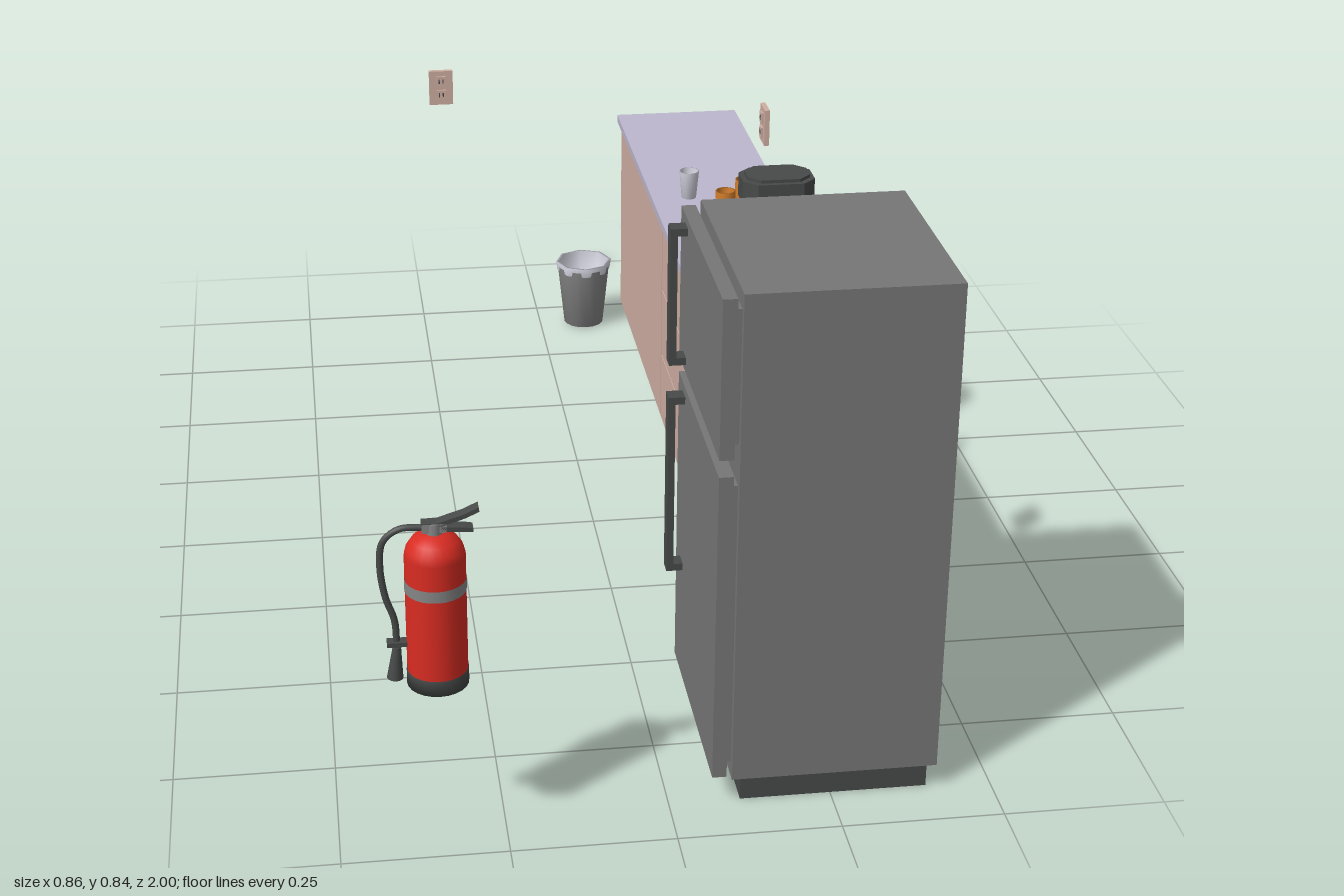
import * as THREE from 'three';

const mat = (name, color, side = THREE.FrontSide) => {
  const m = new THREE.MeshStandardMaterial({ color, side });
  m.name = name;
  return m;
};

export function createModel() {
  const root = new THREE.Group();
  root.name = 'kitchenette';
  const gray = mat('applianceGray', 0x767676);
  const dark = mat('charcoal', 0x484a4a);
  const steel = mat('steel', 0x868686, THREE.DoubleSide);
  const beige = mat('cabinetBeige', 0xb6aba4);
  const pink = mat('rosyBeige', 0xcfaea2);
  const lavender = mat('counterLavender', 0xbcb7cd);
  const red = mat('red', 0xd82c22);
  const orange = mat('orange', 0xcf7c2a, THREE.DoubleSide);
  const white = mat('paleWhite', 0xd2d2de, THREE.DoubleSide);

  // ---- helpers ----
  const group = (name, x = 0, y = 0, z = 0) => {
    const g = new THREE.Group();
    g.name = name;
    g.position.set(x, y, z);
    root.add(g);
    return g;
  };
  const add = (parent, name, geo, material) => {
    const m = new THREE.Mesh(geo, material);
    m.name = name;
    parent.add(m);
    return m;
  };
  // box from minimum and maximum corners
  const box = (parent, name, m, x0, x1, y0, y1, z0, z1) => add(parent, name,
    new THREE.BoxGeometry(x1 - x0, y1 - y0, z1 - z0)
      .translate((x0 + x1) / 2, (y0 + y1) / 2, (z0 + z1) / 2), m);
  const lathe = (parent, name, m, pts, seg = 24) => add(parent, name,
    new THREE.LatheGeometry(pts.map(p => new THREE.Vector2(...p)), seg), m);
  const V = a => new THREE.Vector3(...a);
  // tapered rod between two points
  const rod = (parent, name, m, a, b, r0, r1 = r0, seg = 12) => {
    const A = V(a), B = V(b), d = B.clone().sub(A);
    const mesh = add(parent, name, new THREE.CylinderGeometry(r1, r0, d.length(), seg), m);
    mesh.position.copy(A).add(B).multiplyScalar(0.5);
    mesh.quaternion.setFromUnitVectors(new THREE.Vector3(0, 1, 0), d.normalize());
    return mesh;
  };
  // rectangle with cut corners, as points in x and z
  const cutRect = (x0, x1, z0, z1, c = 0) => (c
    ? [[x0 + c, z0], [x1 - c, z0], [x1, z0 + c], [x1, z1 - c], [x1 - c, z1], [x0 + c, z1], [x0, z1 - c], [x0, z0 + c]]
    : [[x0, z0], [x1, z0], [x1, z1], [x0, z1]]).map(p => new THREE.Vector2(...p));
  // floor-plan outline raised from y0 to y1
  const plan = (parent, name, m, outline, y0, y1, hole) => {
    const s = new THREE.Shape(outline);
    if (hole) s.holes.push(new THREE.Path(hole));
    return add(parent, name, new THREE.ExtrudeGeometry(s, { depth: y1 - y0, bevelEnabled: false })
      .rotateX(Math.PI / 2).translate(0, y1, 0), m);
  };

  // ---- refrigerator ----
  const fridge = group('refrigerator');
  box(fridge, 'fridgeBody', gray, 0.095, 0.413, 0.045, 0.845, 0.55, 0.92);
  box(fridge, 'fridgePlinth', dark, 0.11, 0.4, 0.003, 0.045, 0.565, 0.91);
  for (const [name, y0, y1, h0, h1] of [['freezer', 0.587, 0.838, 0.6, 0.825], ['fridge', 0.05, 0.56, 0.24, 0.545]]) {
    box(fridge, name + 'Door', gray, 0.065, 0.087, y0, y1, 0.552, 0.918);
    box(fridge, name + 'Seal', gray, 0.087, 0.095, y0 + 0.02, y1 - 0.02, 0.562, 0.908);
    const u = new THREE.Shape([[0.065, h0], [0.065, h0 + 0.012], [0.05, h0 + 0.012], [0.05, h1 - 0.012],
      [0.065, h1 - 0.012], [0.065, h1], [0.039, h1], [0.039, h0]].map(p => new THREE.Vector2(...p)));
    add(fridge, name + 'Handle', new THREE.ExtrudeGeometry(u, { depth: 0.026, bevelEnabled: false })
      .translate(0, 0, 0.59), dark);
  }

  // ---- base cabinets, with a narrow seam between the two units ----
  const cabinet = group('cabinets');
  for (const [z0, z1] of [[-0.912, -0.037], [-0.033, 0.54]]) {
    plan(cabinet, 'cabinetWalls', beige, cutRect(0.187, 0.418, z0, z1), 0.05, 0.46,
      cutRect(0.2, 0.405, z0 + 0.013, z1 - 0.013));
    box(cabinet, 'cabinetFloor', beige, 0.19, 0.415, 0.05, 0.06, z0 + 0.005, z1 - 0.005);
    box(cabinet, 'toeKick', beige, 0.207, 0.411, 0.01, 0.05, z0, z1);
  }
  const front = (name, z0, z1, y0 = 0.053, y1 = 0.457) =>
    box(cabinet, name, pink, 0.175, 0.187, y0, y1, z0 + 0.003, z1 - 0.003);
  front('widePanel', -0.91, -0.33);
  for (let i = 0; i < 3; i++) front('drawer', -0.33, -0.04, 0.053 + i * 0.136, 0.185 + i * 0.136);
  front('cabinetDoor', -0.04, 0.255);
  front('cabinetDoor', 0.255, 0.54);
  const basinOuter = cutRect(0.222, 0.37, 0.053, 0.262, 0.022);
  plan(cabinet, 'countertop', lavender, cutRect(0.168, 0.42, -0.92, 0.543), 0.46, 0.475, basinOuter);

  // ---- sink and tap ----
  const sink = group('sink');
  const basinInner = cutRect(0.226, 0.366, 0.057, 0.258, 0.02);
  plan(sink, 'sinkRim', steel, cutRect(0.21, 0.382, 0.038, 0.276, 0.025), 0.475, 0.48, basinInner);
  plan(sink, 'basinWall', steel, basinOuter, 0.39, 0.476, basinInner);
  plan(sink, 'basinFloor', steel, basinOuter, 0.386, 0.39);
  const drain = rod(sink, 'drain', dark, [0.296, 0.39, 0.157], [0.296, 0.393, 0.157], 0.015);
  drain.name = 'drain';
  rod(sink, 'tapFoot', steel, [0.375, 0.475, 0.042], [0.375, 0.484, 0.042], 0.016);
  rod(sink, 'tapPost', steel, [0.375, 0.484, 0.042], [0.375, 0.552, 0.042], 0.011);
  rod(sink, 'tapSpout', steel, [0.375, 0.535, 0.042], [0.313, 0.535, 0.108], 0.008);
  rod(sink, 'tapOutlet', steel, [0.317, 0.538, 0.104], [0.317, 0.521, 0.104], 0.007);
  rod(sink, 'tapLever', steel, [0.366, 0.556, 0.05], [0.39, 0.562, 0.028], 0.007);

  // ---- coffee maker ----
  const coffee = group('coffeeMaker');
  const outline = cutRect(0.293, 0.426, -0.213, -0.117, 0.024);
  plan(coffee, 'coffeeBase', dark, outline, 0.475, 0.493);
  plan(coffee, 'coffeeTower', dark, cutRect(0.376, 0.426, -0.211, -0.119, 0.012), 0.493, 0.57);
  plan(coffee, 'coffeeHead', dark, outline, 0.565, 0.608);
  plan(coffee, 'coffeeLid', dark, cutRect(0.302, 0.418, -0.204, -0.126, 0.022), 0.608, 0.614);
  const carafe = group('carafe', 0.336, 0.493, -0.165);
  lathe(carafe, 'carafeGlass', steel, [[0, 0], [0.03, 0], [0.037, 0.014], [0.036, 0.03], [0.025, 0.05], [0.025, 0.056]]);
  lathe(carafe, 'carafeLid', dark, [[0.027, 0.052], [0.027, 0.06], [0.012, 0.068], [0, 0.068]]);
  add(carafe, 'carafeHandle', new THREE.TorusGeometry(0.017, 0.004, 6, 14, Math.PI)
    .rotateZ(Math.PI / 2).translate(-0.033, 0.033, 0), dark);

  // ---- mugs and drinking glass ----
  for (const [x, z, turn] of [[0.34, -0.367, -Math.PI / 2], [0.292, -0.31, Math.PI + 0.55]]) {
    const mug = group('mug', x, 0.475, z);
    mug.rotation.y = turn;
    lathe(mug, 'mugCup', orange, [[0, 0], [0.018, 0], [0.019, 0.004], [0.019, 0.052], [0.016, 0.052], [0.016, 0.006], [0, 0.006]], 18);
    add(mug, 'mugHandle', new THREE.TorusGeometry(0.013, 0.003, 6, 14, Math.PI)
      .rotateZ(-Math.PI / 2).translate(0.018, 0.027, 0), orange);
  }
  const glass = group('drinkingGlass', 0.24, 0.475, -0.42);
  lathe(glass, 'tumbler', white, [[0, 0], [0.014, 0], [0.019, 0.054], [0.017, 0.054], [0.013, 0.005], [0, 0.005]], 18);

  // ---- wall outlets ----
  for (const [x, y, z, turn] of [[-0.2, 0.527, -1, 0], [0.428, 0.552, 0.355, -Math.PI / 2], [0.428, 0.552, -0.605, -Math.PI / 2]]) {
    const o = group('outlet', x, y, z);
    o.rotation.y = turn;
    box(o, 'wallPlate', pink, -0.025, 0.025, -0.037, 0.037, 0, 0.01);
    for (const s of [-1, 1]) {
      box(o, 'socket', pink, -0.01, 0.01, s * 0.015 - 0.011, s * 0.015 + 0.011, 0.01, 0.014);
      for (const k of [-1, 1])
        box(o, 'socketSlot', dark, k * 0.004 - 0.0012, k * 0.004 + 0.0012, s * 0.015 - 0.004, s * 0.015 + 0.005, 0.014, 0.0146);
    }
  }

  // ---- waste bin ----
  const bin = group('wasteBin', 0.095, 0.005, -0.92);
  lathe(bin, 'binShell', steel, [[0, 0], [0.042, 0], [0.056, 0.132]], 16);
  lathe(bin, 'binLiner', white, [[0.057, 0.122], [0.06, 0.141], [0.054, 0.141], [0.048, 0.07], [0, 0.065]], 8);
  [[0.015, 0.085, 0.012], [-0.02, 0.08, 0.005], [0.004, 0.082, -0.02]].forEach((p, i) => {
    add(bin, 'crumpledPaper', new THREE.DodecahedronGeometry(0.016).rotateX(i).translate(...p), i === 1 ? dark : white);
  });

  // ---- fire extinguisher ----
  const ext = group('fireExtinguisher', -0.347, 0, 0.953);
  lathe(ext, 'footRing', dark, [[0, 0.276], [0.045, 0.276], [0.045, 0.3], [0.042, 0.3]]);
  lathe(ext, 'tank', red, [[0.044, 0.3], [0.044, 0.485], [0.041, 0.497], [0.033, 0.509], [0.02, 0.517], [0.01, 0.519]]);
  lathe(ext, 'grayBand', steel, [[0.0446, 0.429], [0.0446, 0.447]]);
  add(ext, 'label', new THREE.CylinderGeometry(0.0448, 0.0448, 0.11, 16, 1, true, Math.PI - 0.95, 1.9)
    .translate(0, 0.367, 0), white);
  rod(ext, 'valveNeck', steel, [0, 0.515, 0], [0, 0.536, 0], 0.012);
  box(ext, 'valveBlock', steel, -0.018, 0.018, 0.522, 0.536, -0.009, 0.009);
  // thick side-profile strips for the two grips
  const grip = (name, pts) => add(ext, name, new THREE.ExtrudeGeometry(
    new THREE.Shape(pts.map(p => new THREE.Vector2(...p))), { depth: 0.018, bevelEnabled: false }).translate(0, 0, -0.009), dark);
  grip('upperLever', [[-0.018, 0.53], [0.005, 0.53], [0.045, 0.543], [0.064, 0.552], [0.063, 0.559], [0.042, 0.549], [0.004, 0.537], [-0.018, 0.537]]);
  grip('lowerGrip', [[0.01, 0.524], [0.045, 0.521], [0.055, 0.52], [0.055, 0.526], [0.045, 0.528], [0.01, 0.531]]);
  const hosePath = new THREE.CatmullRomCurve3([[-0.015, 0.528, 0], [-0.05, 0.527, 0], [-0.073, 0.508, 0],
    [-0.078, 0.47, 0], [-0.072, 0.42, 0], [-0.06, 0.38, 0], [-0.058, 0.335, 0]].map(V));
  add(ext, 'hose', new THREE.TubeGeometry(hosePath, 40, 0.005, 8), dark);
  rod(ext, 'nozzle', dark, [-0.062, 0.286, 0], [-0.058, 0.337, 0], 0.012, 0.006);
  box(ext, 'hoseClip', dark, -0.072, -0.042, 0.34, 0.347, -0.008, 0.008);

  return root;
}
